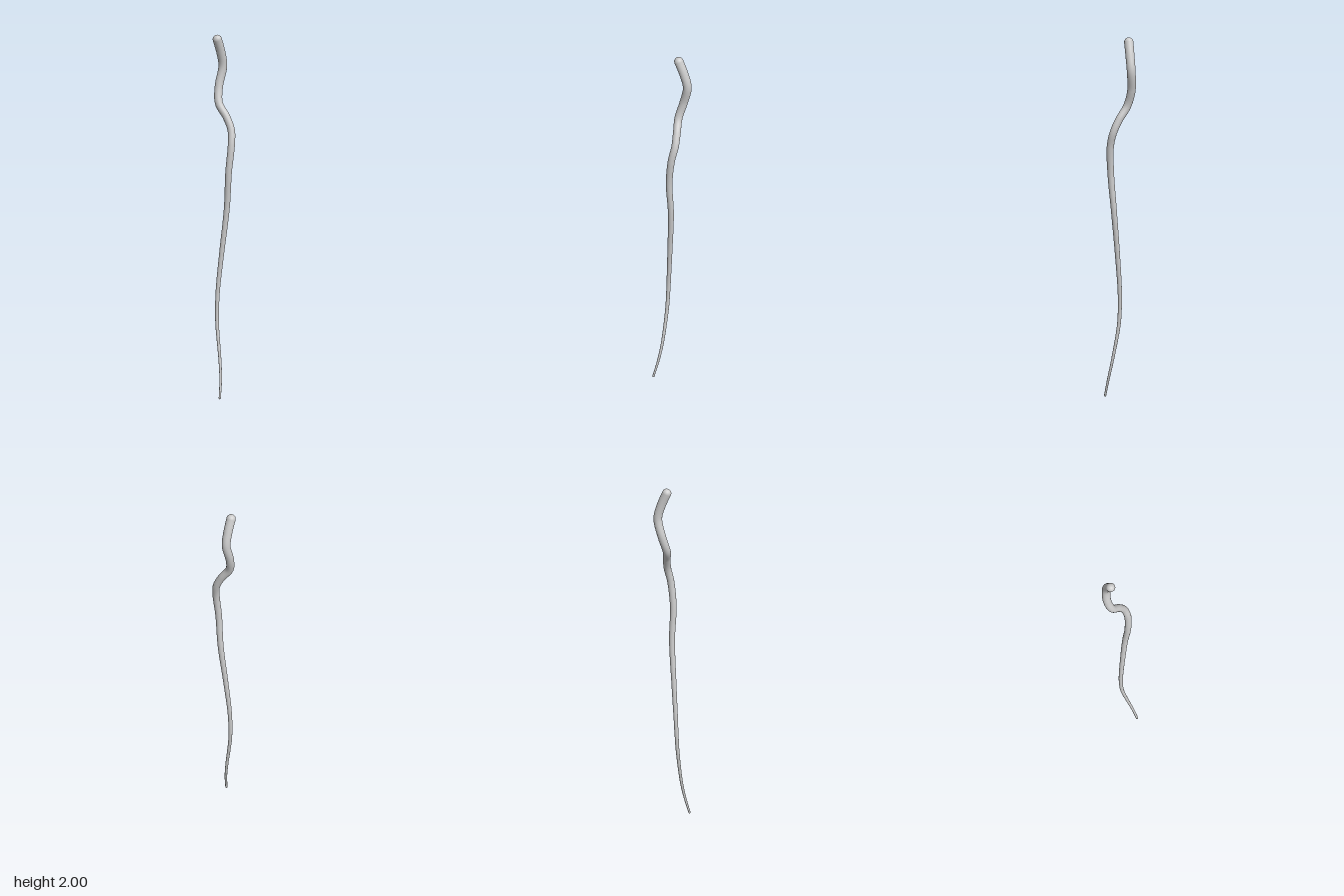
import * as THREE from 'three';

// Centreline from the thin tail tip up to the thick head end
const PATH = [
  [-0.09, 0.006, 0.065], [-0.067, 0.1, 0.052], [-0.051, 0.2, 0.034], [-0.036, 0.4, 0.001],
  [-0.031, 0.5, -0.004], [-0.026, 0.6, -0.002], [-0.013, 0.8, 0.014], [0.002, 1.05, 0.038],
  [-0.002, 1.25, 0.054], [0.014, 1.4, 0.06], [0.029, 1.48, 0.046], [0.027, 1.55, 0.013],
  [0.019, 1.62, -0.033], [0.041, 1.71, -0.052], [0.066, 1.82, -0.045], [0.047, 1.9, -0.043],
  [0.017, 1.975, -0.043],
];
const SEGMENTS = 160;
const SIDES = 24;
const radiusAt = (t) => 0.006 + 0.0195 * t;

export function createModel() {
  const group = new THREE.Group();
  group.name = 'taperedStrand';
  const material = new THREE.MeshStandardMaterial({ color: 0xcccccc });
  const curve = new THREE.CatmullRomCurve3(PATH.map((p) => new THREE.Vector3(...p)));

  // Body: unit-radius tube with every ring shrunk to its tapered radius
  const body = new THREE.TubeGeometry(curve, SEGMENTS, 1, SIDES);
  const pos = body.attributes.position;
  const v = new THREE.Vector3();
  for (let i = 0; i <= SEGMENTS; i++) {
    const centre = curve.getPointAt(i / SEGMENTS);
    for (let j = 0; j <= SIDES; j++) {
      const k = i * (SIDES + 1) + j;
      v.fromBufferAttribute(pos, k).sub(centre).multiplyScalar(radiusAt(i / SEGMENTS)).add(centre);
      pos.setXYZ(k, v.x, v.y, v.z);
    }
  }
  body.computeBoundingSphere();
  const strand = new THREE.Mesh(body, material);
  strand.name = 'strand';
  group.add(strand);

  // Rounded ends facing along the centreline
  const up = new THREE.Vector3(0, 1, 0);
  for (const [name, t, sign] of [['tailCap', 0, -1], ['headCap', 1, 1]]) {
    const dome = new THREE.SphereGeometry(radiusAt(t), SIDES, 10, 0, Math.PI * 2, 0, Math.PI / 2);
    const cap = new THREE.Mesh(dome, material);
    cap.name = name;
    cap.position.copy(curve.getPointAt(t));
    cap.quaternion.setFromUnitVectors(up, curve.getTangentAt(t).multiplyScalar(sign));
    group.add(cap);
  }
  return group;
}
